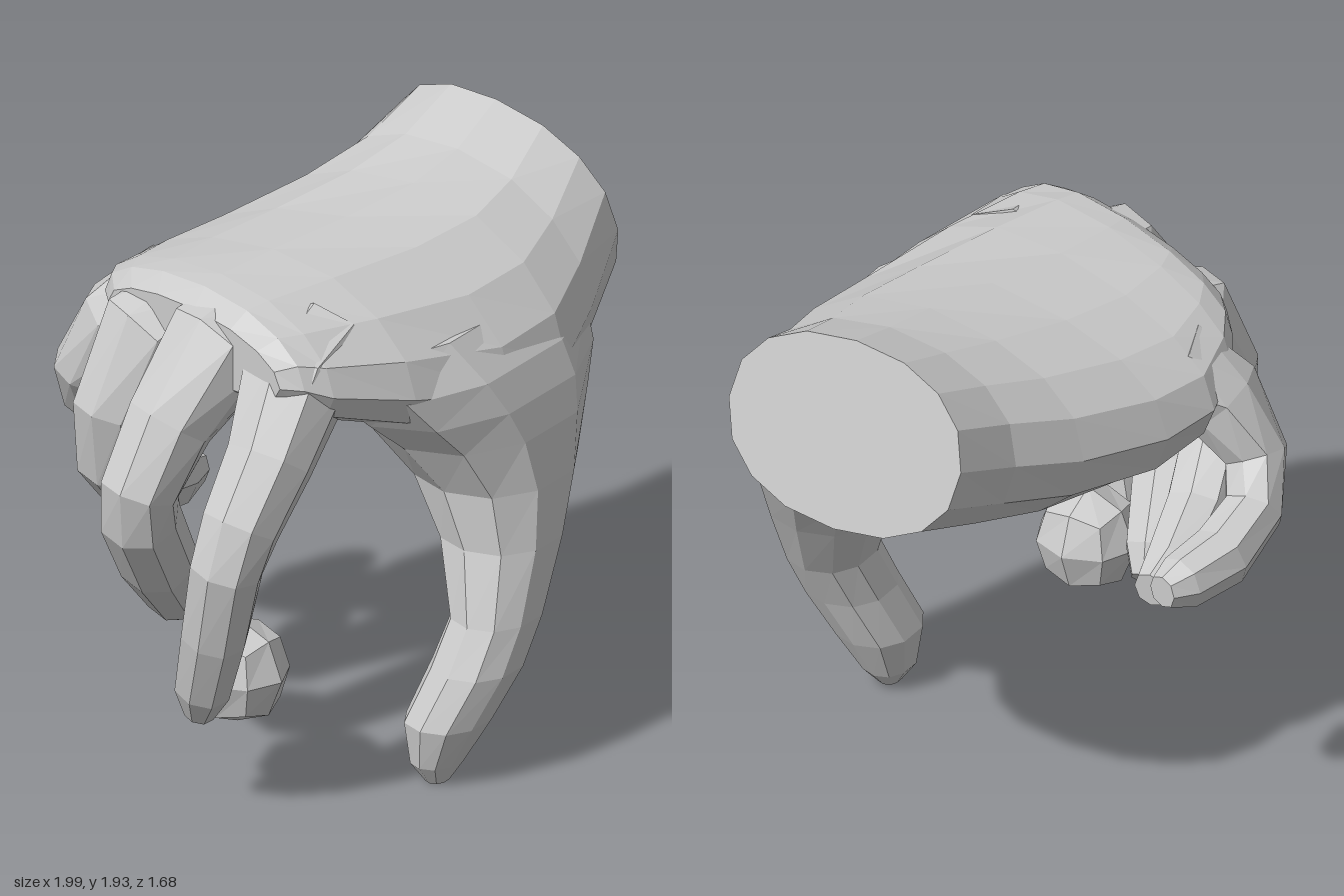
import * as THREE from 'three';

const V = (x, y, z) => new THREE.Vector3(x, y, z);
const material = new THREE.MeshStandardMaterial({ color: 0xcccccc, flatShading: true });

// Skin a list of equal-length point rings and close both ends
function loft(rings) {
  const n = rings[0].length, pos = [], index = [];
  rings.forEach(r => r.forEach(p => pos.push(p.x, p.y, p.z)));
  for (let i = 0; i < rings.length - 1; i++) {
    for (let j = 0; j < n; j++) {
      const a = i * n + j, b = i * n + (j + 1) % n;
      index.push(a, b, b + n, a, b + n, a + n);
    }
  }
  [0, rings.length - 1].forEach((k, end) => {
    const c = rings[k].reduce((s, p) => s.add(p), V(0, 0, 0)).divideScalar(n);
    const m = pos.length / 3;
    pos.push(c.x, c.y, c.z);
    for (let j = 0; j < n; j++) {
      const a = k * n + j, b = k * n + (j + 1) % n;
      if (end) index.push(m, a, b); else index.push(m, b, a);
    }
  });
  const g = new THREE.BufferGeometry();
  g.setAttribute('position', new THREE.Float32BufferAttribute(pos, 3));
  g.setIndex(index);
  g.computeVertexNormals();
  return g;
}

// Squared-off ellipse as unit [u, v] pairs
function superEllipse(n, power) {
  const f = t => Math.sign(t) * Math.abs(t) ** power;
  return Array.from({ length: n }, (_, j) => {
    const a = (j / n) * Math.PI * 2;
    return [f(Math.cos(a)), f(Math.sin(a))];
  });
}

// Palm: sections across x, each [x, slantZ, slantY, bottom, top, back, front, roll, droop, hollow];
// droop lowers the front edge into the thumb, hollow lifts the underside
function palmGeometry() {
  const sections = [
    [-0.60, -0.28, 0, 1.46, 1.69, -0.46, 0.40, 0.06, 0.03, 0],
    [-0.53, -0.28, 0, 1.40, 1.74, -0.54, 0.46, 0.08, 0.05, 0],
    [-0.44, -0.27, 0, 1.34, 1.75, -0.60, 0.52, 0.10, 0.08, 0.02],
    [-0.20, -0.15, 0, 1.24, 1.76, -0.64, 0.64, 0.12, 0.14, 0.06],
    [0.10, 0, 0, 1.16, 1.78, -0.59, 0.74, 0.10, 0.20, 0.06],
    [0.40, -0.04, -0.05, 1.14, 1.81, -0.47, 0.75, 0.04, 0.15, 0.04],
    [0.65, -0.07, -0.12, 1.18, 1.85, -0.37, 0.68, -0.03, 0.07, 0],
    [0.92, -0.10, -0.22, 1.29, 1.93, -0.33, 0.60, -0.06, 0, 0],
  ];
  return loft(sections.map(([x, kz, ky, y0, y1, z0, z1, roll, droop, hollow]) => {
    const yc = (y0 + y1) / 2, zc = (z0 + z1) / 2;
    return superEllipse(16, 0.9).map(([u, v]) => {
      const z = zc + v * (z1 - z0) / 2;
      const lift = u < 0 ? hollow * Math.max(0, 1 - Math.abs(v - 0.2) / 0.6) : 0;
      const dy = u * (y1 - y0) / 2 + roll * (z - zc) - droop * Math.max(v, 0) ** 2 + lift;
      return V(x + kz * z + ky * dy, yc + dy, z);
    });
  }));
}

// Thumb: sections going down, each [y, left, right, back, front]
function thumbGeometry() {
  const sections = [
    [1.56, -0.46, 0.66, 0.05, 0.64],
    [1.42, -0.42, 0.76, 0.08, 0.75],
    [1.30, -0.31, 0.73, 0.14, 0.79],
    [1.18, -0.18, 0.64, 0.21, 0.81],
    [1.00, -0.06, 0.51, 0.33, 0.83],
    [0.80, -0.04, 0.38, 0.45, 0.84],
    [0.56, -0.10, 0.24, 0.56, 0.84],
    [0.40, -0.17, 0.16, 0.53, 0.82],
    [0.22, -0.24, 0.08, 0.48, 0.75],
    [0.07, -0.21, 0.00, 0.51, 0.67],
    [0.00, -0.16, -0.07, 0.56, 0.63],
  ];
  return loft(sections.map(([y, x0, x1, z0, z1]) => superEllipse(10, 0.9).map(([u, v]) =>
    V((x0 + x1) / 2 + u * (x1 - x0) / 2, y, (z0 + z1) / 2 + v * (z1 - z0) / 2))));
}

// Finger: joints along the bone, each [x, y, z, radius]
function fingerGeometry(joints) {
  const pts = joints.map(j => V(j[0], j[1], j[2]));
  return loft(pts.map((p, i) => {
    const t = pts[Math.min(i + 1, pts.length - 1)].clone().sub(pts[Math.max(i - 1, 0)]).normalize();
    const side = V(0.1, 0, 1).addScaledVector(t, -V(0.1, 0, 1).dot(t)).normalize();
    const up = t.clone().cross(side);
    const r = joints[i][3];
    return superEllipse(8, 0.9).map(([u, v]) =>
      p.clone().addScaledVector(side, u * r).addScaledVector(up, v * r));
  }));
}

// Ball: a divided cube pushed out to a sphere
function ballGeometry(rx, ry, rz) {
  const g = new THREE.BoxGeometry(2, 2, 2, 2, 2, 2);
  const p = g.attributes.position, v = V(0, 0, 0);
  for (let i = 0; i < p.count; i++) {
    v.fromBufferAttribute(p, i).normalize();
    p.setXYZ(i, v.x * rx, v.y * ry, v.z * rz);
  }
  g.computeVertexNormals();
  return g;
}

const fingers = {
  indexFinger: [
    [-0.36, 1.54, 0.30, 0.19], [-0.54, 1.51, 0.33, 0.18], [-0.70, 1.30, 0.35, 0.145],
    [-0.83, 1.11, 0.33, 0.13], [-0.88, 0.97, 0.31, 0.12], [-0.85, 0.70, 0.24, 0.11],
    [-0.80, 0.47, 0.16, 0.095], [-0.78, 0.36, 0.13, 0.05],
  ],
  middleFinger: [
    [-0.36, 1.57, 0.06, 0.18], [-0.55, 1.55, 0.03, 0.18], [-0.71, 1.33, -0.04, 0.145],
    [-0.82, 1.12, -0.08, 0.13], [-0.79, 1.00, -0.10, 0.13], [-0.64, 0.78, -0.14, 0.125],
    [-0.45, 0.57, -0.20, 0.10], [-0.38, 0.50, -0.22, 0.06],
  ],
  ringFinger: [
    [-0.28, 1.53, -0.22, 0.17], [-0.48, 1.48, -0.30, 0.165], [-0.58, 1.24, -0.37, 0.125],
    [-0.54, 1.04, -0.39, 0.12], [-0.35, 0.85, -0.43, 0.115], [-0.10, 0.77, -0.48, 0.10],
    [0.03, 0.76, -0.48, 0.06],
  ],
  littleFinger: [
    [-0.18, 1.48, -0.42, 0.17], [-0.26, 1.37, -0.57, 0.14], [-0.28, 1.18, -0.69, 0.105],
    [-0.18, 1.04, -0.74, 0.10], [0.02, 0.97, -0.74, 0.105], [0.20, 0.95, -0.70, 0.09],
    [0.28, 0.95, -0.68, 0.055],
  ],
};

export function createModel() {
  const model = new THREE.Group();
  model.name = 'handWithBall';
  const add = (name, geometry) => {
    const mesh = new THREE.Mesh(geometry, material);
    mesh.name = name;
    model.add(mesh);
    return mesh;
  };
  add('palm', palmGeometry());
  add('thumb', thumbGeometry());
  for (const [name, joints] of Object.entries(fingers)) add(name, fingerGeometry(joints));
  add('ball', ballGeometry(0.165, 0.185, 0.178)).position.set(-0.582, 0.445, 0.135);
  return model;
}
